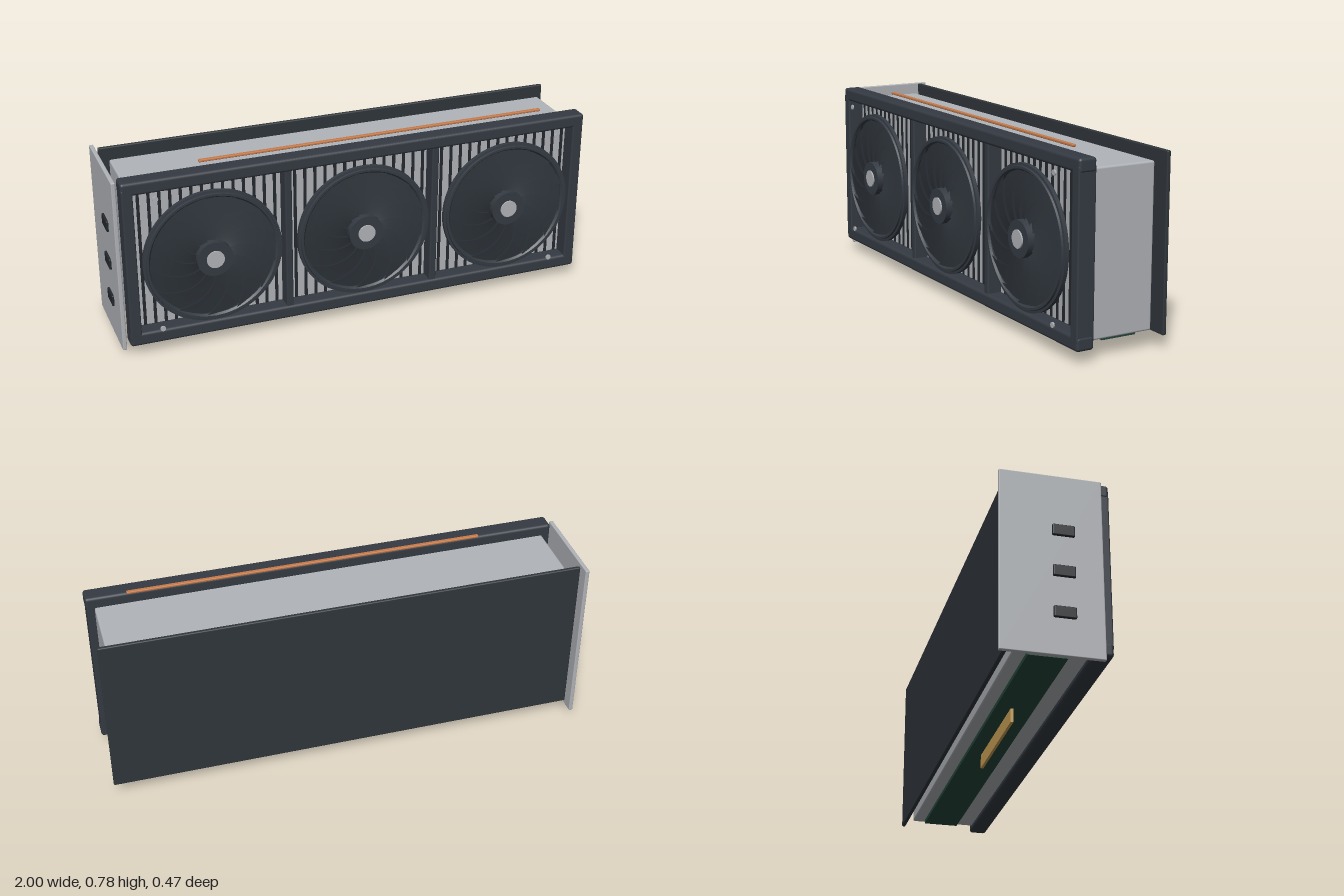
import * as THREE from 'three';
import { RoundedBoxGeometry } from 'three/addons/geometries/RoundedBoxGeometry.js';

const paint = (name, color, side = THREE.FrontSide) =>
  Object.assign(new THREE.MeshStandardMaterial({ color, side }), { name });

export function createModel() {
  const model = new THREE.Group();
  model.name = 'graphicsCard';
  const shell = paint('charcoal shell', 0x353b43);
  const fan = paint('dark fan', 0x2f353c, THREE.DoubleSide);
  const plate = paint('backplate grey', 0x30363b);
  const metal = paint('light metal', 0xb1b4b9);
  const slot = paint('slot black', 0x24282d);
  const board = paint('board green', 0x24463a);
  const gold = paint('contact gold', 0xc9a055);
  const copper = paint('copper', 0xc67b4b);

  const add = (name, geometry, material, parent = model) => {
    const mesh = new THREE.Mesh(geometry, material);
    mesh.name = name;
    parent.add(mesh);
    return mesh;
  };
  // Box given by its limits on each axis, optionally with rounded edges
  const box = (name, material, [x0, x1], [y0, y1], [z0, z1], radius = 0, parent = model) => {
    const size = [x1 - x0, y1 - y0, z1 - z0];
    const geometry = radius ? new RoundedBoxGeometry(...size, 3, radius) : new THREE.BoxGeometry(...size);
    const mesh = add(name, geometry, material, parent);
    mesh.position.set((x0 + x1) / 2, (y0 + y1) / 2, (z0 + z1) / 2);
    return mesh;
  };
  // Cylinder whose axis runs along z
  const disc = (name, material, radius, z0, z1, parent, sides = 40) => {
    const mesh = add(name, new THREE.CylinderGeometry(radius, radius, z1 - z0, sides), material, parent);
    mesh.rotation.x = Math.PI / 2;
    mesh.position.z = (z0 + z1) / 2;
    return mesh;
  };

  // Heatsink with dark gaps between its fins
  box('heatsink', metal, [-0.93, 0.965], [0.072, 0.713], [-0.158, 0.125], 0.008);
  const gaps = new THREE.Group();
  gaps.name = 'finGaps';
  model.add(gaps);
  for (let i = 0; i < 44; i++) {
    const x = -0.888 + i * 0.0424;
    box('finGap', slot, [x - 0.006, x + 0.006], [0.1, 0.685], [0.121, 0.129], 0, gaps);
  }

  // Front frame
  const depth = [0.117, 0.192];
  box('topRail', shell, [-0.965, 1], [0.704, 0.759], depth, 0.012);
  box('bottomRail', shell, [-0.965, 1], [0.05, 0.105], depth, 0.012);
  box('rightPost', shell, [-0.963, -0.918], [0.08, 0.73], depth, 0.006);
  box('leftPost', shell, [0.952, 0.997], [0.08, 0.73], depth, 0.006);
  box('rightDivider', shell, [-0.312, -0.283], [0.09, 0.72], [0.117, 0.185], 0.006);
  box('leftDivider', shell, [0.318, 0.348], [0.09, 0.72], [0.117, 0.185], 0.006);

  // Three fans
  const blade = bladeGeometry();
  const profile = [[0.255, 0.187], [0.283, 0.187], [0.283, 0.203], [0.273, 0.204],
    [0.271, 0.212], [0.262, 0.212], [0.255, 0.204], [0.255, 0.187]];
  // Doubled corners keep the steps of the ring sharp
  const ringGeometry = new THREE.LatheGeometry(
    profile.flatMap(([r, z], i) => {
      const p = new THREE.Vector2(r, z);
      return i ? [p, p.clone()] : [p];
    }), 64);
  for (const x of [-0.617, 0.016, 0.65]) {
    const group = new THREE.Group();
    group.name = 'fan';
    group.position.set(x, 0.4, 0);
    model.add(group);
    add('fanRing', ringGeometry, shell, group).rotation.x = Math.PI / 2;
    disc('fanBack', fan, 0.26, 0.187, 0.193, group, 64);
    for (let i = 0; i < 13; i++) {
      add('fanBlade', blade, fan, group).rotation.z = (i / 13) * Math.PI * 2;
    }
    disc('fanHub', shell, 0.073, 0.19, 0.23, group);
    disc('hubCap', metal, 0.036, 0.228, 0.236, group);
  }

  // Corner screws
  for (const x of [-0.837, 0.865]) {
    for (const y of [0.122, 0.688]) {
      const screw = disc('screw', metal, 0.011, 0.208, 0.214, model, 16);
      screw.position.x = x;
      screw.position.y = y;
    }
  }

  // Backplate, circuit board, edge contacts and top light strip
  box('backplate', plate, [-0.965, 1], [0.055, 0.752], [-0.203, -0.187], 0.005);
  box('circuitBoard', board, [-0.9, 0.935], [0.056, 0.085], [-0.108, 0.041]);
  box('edgeConnector', gold, [-0.43, 0.062], [0, 0.058], [-0.05, -0.039]);
  box('lightStrip', copper, [-0.635, 0.835], [0.766, 0.776], [0.098, 0.114], 0.003);

  // Mounting bracket and display ports
  box('bracket', metal, [-0.991, -0.974], [0.021, 0.753], [-0.235, 0.155], 0.004);
  for (const y of [0.19, 0.355, 0.522]) {
    box('displayPort', slot, [-1, -0.985], [y - 0.023, y + 0.023], [-0.037, 0.048], 0.005);
  }
  return model;
}

// Swept, tilted blade: a grid over radius and angle
function bladeGeometry() {
  const geometry = new THREE.PlaneGeometry(1, 1, 3, 10);
  const p = geometry.attributes.position;
  for (let i = 0; i < p.count; i++) {
    const u = p.getX(i) + 0.5;
    const v = p.getY(i) + 0.5;
    const r = 0.06 + v * 0.2;
    const angle = -0.75 * Math.pow(v, 1.3) - u * 0.49;
    p.setXYZ(i, r * Math.cos(angle), r * Math.sin(angle), 0.197 + u * 0.011);
  }
  // Rows run outward, so flip the winding when it faces the back
  geometry.computeVertexNormals();
  if (geometry.attributes.normal.getZ(5) < 0) {
    geometry.index.array.reverse();
    geometry.computeVertexNormals();
  }
  return geometry;
}
